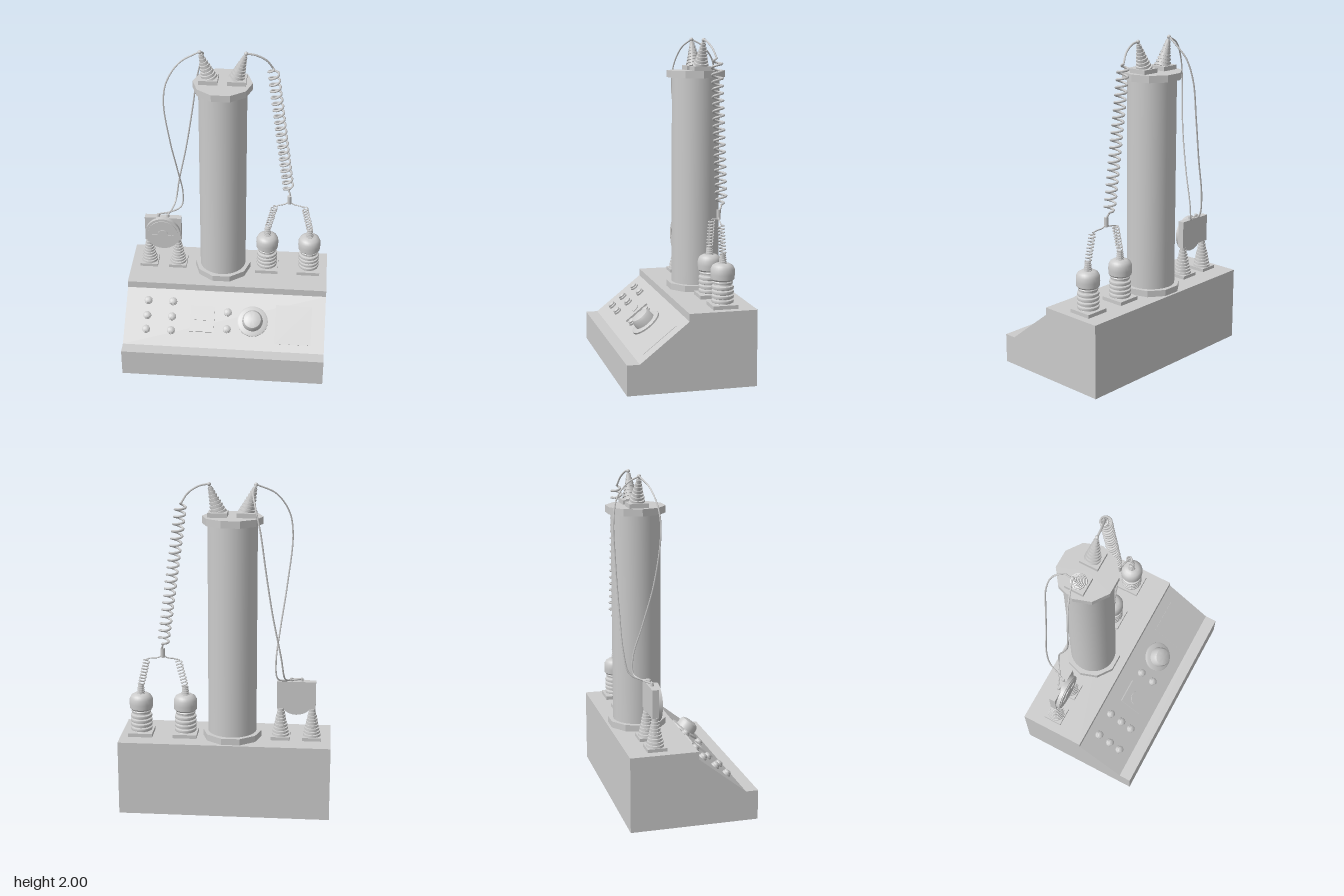
import * as THREE from 'three';
import { toCreasedNormals } from 'three/addons/utils/BufferGeometryUtils.js';

const V = (x, y, z) => new THREE.Vector3(x, y, z);
const grey = new THREE.MeshStandardMaterial({ color: 0xcccccc, side: THREE.DoubleSide });

function add(parent, name, geometry, x = 0, y = 0, z = 0) {
  const mesh = new THREE.Mesh(geometry, grey);
  mesh.name = name;
  mesh.position.set(x, y, z);
  parent.add(mesh);
  return mesh;
}
function group(parent, name, x = 0, y = 0, z = 0) {
  const g = new THREE.Group();
  g.name = name;
  g.position.set(x, y, z);
  parent.add(g);
  return g;
}
const box = (w, h, d) => new THREE.BoxGeometry(w, h, d);
const cyl = (rt, rb, h, n = 24) => new THREE.CylinderGeometry(rt, rb, h, n);
const lathe = (pts, n = 24) =>
  toCreasedNormals(new THREE.LatheGeometry(pts.map(p => new THREE.Vector2(...p)), n), 0.6);
const wire = (pts, r, n = 60) =>
  new THREE.TubeGeometry(new THREE.CatmullRomCurve3(pts), n, r, 6);

// Helix running from a to b
class Helix extends THREE.Curve {
  constructor(a, b, radius, turns) {
    super();
    Object.assign(this, { a, b, radius, turns });
    const dir = b.clone().sub(a).normalize();
    this.u = V(0, 0, 1).cross(dir).normalize();
    this.v = dir.clone().cross(this.u);
  }
  getPoint(t, target = new THREE.Vector3()) {
    const w = t * this.turns * Math.PI * 2;
    const r = this.radius * Math.min(1, t * 40, (1 - t) * 40);
    return target.copy(this.a).lerp(this.b, t)
      .addScaledVector(this.u, r * Math.cos(w)).addScaledVector(this.v, r * Math.sin(w));
  }
}
const spring = (a, b, radius, turns, r) =>
  new THREE.TubeGeometry(new Helix(a, b, radius, turns), turns * 16, r, 6);

// Tapered insulator with stepped ribs
function ribbedCone(r0, r1, h, ribs) {
  const pts = [[0, 0]];
  for (let i = 0; i < ribs; i++) {
    const r = r0 + (r1 - r0) * i / (ribs - 1), y = h * i / ribs, s = h / ribs;
    pts.push([r, y], [r * 0.97, y + s * 0.6], [r * 0.75, y + s * 0.65], [r * 0.75, y + s]);
  }
  pts.push([0, h]);
  return lathe(pts, 20);
}

// Sloped cabinet
function buildCabinet(root) {
  const s = new THREE.Shape([[0.385, 0], [0.385, 0.18], [0.31, 0.18], [0.02, 0.41],
    [0.02, 0.455], [-0.385, 0.455], [-0.385, 0]].map(p => new THREE.Vector2(...p)));
  const g = new THREE.ExtrudeGeometry(s, { depth: 1.27, bevelEnabled: false });
  g.rotateY(-Math.PI / 2).translate(0.635, 0, 0);
  add(root, 'cabinet', g);
}

// Controls on the slope; local y is the panel normal, local z runs downhill
function buildPanel(root) {
  const angle = Math.atan2(0.23, 0.29);
  const panel = group(root, 'controlPanel', 0, 0.295, 0.165);
  panel.rotation.x = angle;
  const down = z => (z - 0.165) / Math.cos(angle);

  const button = [[0.026, 0], [0.026, 0.01], [0.022, 0.013], [0.022, 0.022], [0.014, 0.028], [0, 0.029]];
  for (const x of [-0.495, -0.336])
    for (const z of [0.083, 0.16, 0.23]) add(panel, 'button', lathe(button, 12), x, 0, down(z));
  for (const z of [0.125, 0.21]) add(panel, 'indicator', lathe(button, 12), 0.018, 0, down(z));

  // Gauge with a half-round window
  add(panel, 'gaugePlate', box(0.155, 0.016, 0.168), -0.143, 0.004, 0);
  const dome = new THREE.Shape();
  dome.absarc(0, 0, 0.048, 0, Math.PI);
  const window = new THREE.ExtrudeGeometry(dome, { depth: 0.006, bevelEnabled: false });
  add(panel, 'gaugeWindow', window.rotateX(-Math.PI / 2), -0.143, 0.011, 0.01);

  // Main dial
  add(panel, 'dialPlate', lathe([[0.097, 0], [0.097, 0.01], [0.088, 0.015], [0, 0.015]], 28), 0.178, 0, 0);
  add(panel, 'dialKnob', lathe([[0.066, 0.01], [0.063, 0.05], [0.054, 0.067], [0.035, 0.074], [0, 0.076]]), 0.178, 0, 0);
  add(panel, 'blankPlate', box(0.23, 0.004, 0.25), 0.435, 0, 0.01);
}

// Tall column with ten-sided flanges
function buildColumn(root) {
  const col = group(root, 'column', -0.04, 0, -0.2);
  add(col, 'columnTube', cyl(0.146, 0.146, 1.3, 32), 0, 1.12, 0);
  for (const y of [0.473, 1.779]) {
    const flange = add(col, 'flange', toCreasedNormals(cyl(0.178, 0.178, 0.042, 10), 0.3), 0, y, 0);
    flange.rotation.y = Math.PI / 10;
  }
  // Outward-leaning terminals
  for (const side of [-1, 1]) {
    const t = group(col, 'topTerminal', side * 0.084, 1.8, -0.01);
    add(t, 'terminalPlate', box(0.112, 0.026, 0.116), 0, 0.013, 0);
    const lean = group(t, 'terminalCone', -side * 0.004, 0.018, 0);
    lean.rotation.z = -side * 0.32;
    add(lean, 'insulator', ribbedCone(0.05, 0.016, 0.16, 8));
    add(lean, 'stem', cyl(0.006, 0.006, 0.03, 8), 0, 0.165, 0);
    add(lean, 'ball', new THREE.SphereGeometry(0.012, 12, 8), 0, 0.175, 0);
  }
}

// Rectangular meter carried by two cones
function buildMeter(root) {
  const m = group(root, 'meter', -0.425, 0, -0.21);
  for (const x of [-0.096, 0.092]) {
    add(m, 'footPlate', box(0.114, 0.022, 0.116), x, 0.464, 0);
    add(m, 'insulator', ribbedCone(0.053, 0.02, 0.175, 9), x, 0.475, 0);
  }
  add(m, 'meterPlate', box(0.232, 0.17, 0.04), 0, 0.73, 0);
  add(m, 'meterDisc', cyl(0.112, 0.112, 0.03, 32), 0, 0.708, 0.028).rotation.x = Math.PI / 2;

  const opts = { depth: 0.008, bevelEnabled: false, curveSegments: 20 };
  const arc = new THREE.Shape();
  arc.absarc(0, 0, 0.096, -0.3, Math.PI + 0.3);
  arc.absarc(0, 0, 0.07, Math.PI + 0.3, -0.3, true);
  add(m, 'scaleArc', new THREE.ExtrudeGeometry(arc, opts), 0, 0.708, 0.04);
  const cover = new THREE.Shape();
  cover.absarc(0, 0, 0.07, Math.PI, Math.PI * 2);
  cover.absarc(0, 0, 0.035, 0, Math.PI);
  add(m, 'lowerCover', new THREE.ExtrudeGeometry(cover, opts), 0, 0.7, 0.04);
  for (const x of [-0.03, 0.03]) add(m, 'wirePost', cyl(0.009, 0.012, 0.022, 10), x, 0.823, 0);
}

// Two bulbed insulators with small springs meeting at a junction
function buildOutputs(root) {
  const joint = V(0.376, 0.95, -0.225);
  for (const [x, sx] of [[0.244, 0.285], [0.514, 0.474]]) {
    const o = group(root, 'outputInsulator', x, 0, -0.21);
    add(o, 'footPlate', box(0.146, 0.024, 0.15), 0, 0.465, 0);
    const pts = [[0.055, 0.475]];
    for (let i = 0; i < 4; i++) {
      const y = 0.48 + i * 0.027;
      pts.push([0.052, y], [0.064, y + 0.004], [0.066, y + 0.012], [0.064, y + 0.02], [0.052, y + 0.024]);
    }
    pts.push([0.05, 0.592], [0.058, 0.594], [0.06, 0.605], [0.05, 0.617]);
    add(o, 'ribs', lathe(pts));
    add(o, 'bulb', lathe([[0, 0.612], [0.06, 0.612], [0.069, 0.622], [0.071, 0.65], [0.07, 0.68],
      [0.06, 0.7], [0.042, 0.711], [0, 0.713]], 28));
    add(o, 'terminal', ribbedCone(0.024, 0.019, 0.06, 5), 0, 0.708, 0);
    const top = V(sx, 0.93, -0.21);
    add(root, 'smallSpring', spring(V(x, 0.76, -0.21), top, 0.018, 9, 0.004));
    add(root, 'springLead', wire([top, V(sx + (x < 0.376 ? 0.03 : -0.03), 0.938, -0.215),
      V(joint.x + (x < 0.376 ? -0.025 : 0.025), 0.945, -0.222), V(joint.x, 0.965, -0.225)], 0.004, 16));
  }
  add(root, 'junction', cyl(0.013, 0.013, 0.056, 12), joint.x, 0.975, joint.z);

  // Long spring hanging from the right-hand column terminal
  const a = V(0.252, 1.88, -0.245), b = V(0.37, 1.03, -0.243);
  add(root, 'longSpring', spring(a, b, 0.031, 20, 0.007));
  add(root, 'upperLead', wire([V(0.1, 1.985, -0.21), V(0.15, 1.975, -0.215), V(0.215, 1.935, -0.23), a], 0.006, 20));
  add(root, 'lowerLead', wire([b, V(0.378, 1.01, -0.235), V(0.376, 0.98, -0.225)], 0.006, 8));
}

// Loose wires from the column down to the meter
function buildWires(root) {
  add(root, 'outerWire', wire([V(-0.178, 1.985, -0.21), V(-0.29, 1.93, -0.175), V(-0.365, 1.82, -0.145),
    V(-0.387, 1.69, -0.138), V(-0.36, 1.4, -0.17), V(-0.325, 1.15, -0.23), V(-0.303, 0.95, -0.285),
    V(-0.315, 0.85, -0.285), V(-0.37, 0.83, -0.25), V(-0.455, 0.83, -0.213)], 0.005, 90));
  add(root, 'innerWire', wire([V(-0.178, 1.985, -0.21), V(-0.162, 1.95, -0.27), V(-0.18, 1.87, -0.34),
    V(-0.21, 1.74, -0.37), V(-0.245, 1.5, -0.37), V(-0.285, 1.25, -0.362), V(-0.335, 1, -0.35),
    V(-0.355, 0.87, -0.32), V(-0.375, 0.835, -0.26), V(-0.395, 0.83, -0.213)], 0.005, 90));
}

export function createModel() {
  const root = new THREE.Group();
  root.name = 'electricalApparatus';
  buildCabinet(root);
  buildPanel(root);
  buildColumn(root);
  buildMeter(root);
  buildOutputs(root);
  buildWires(root);
  return root;
}
